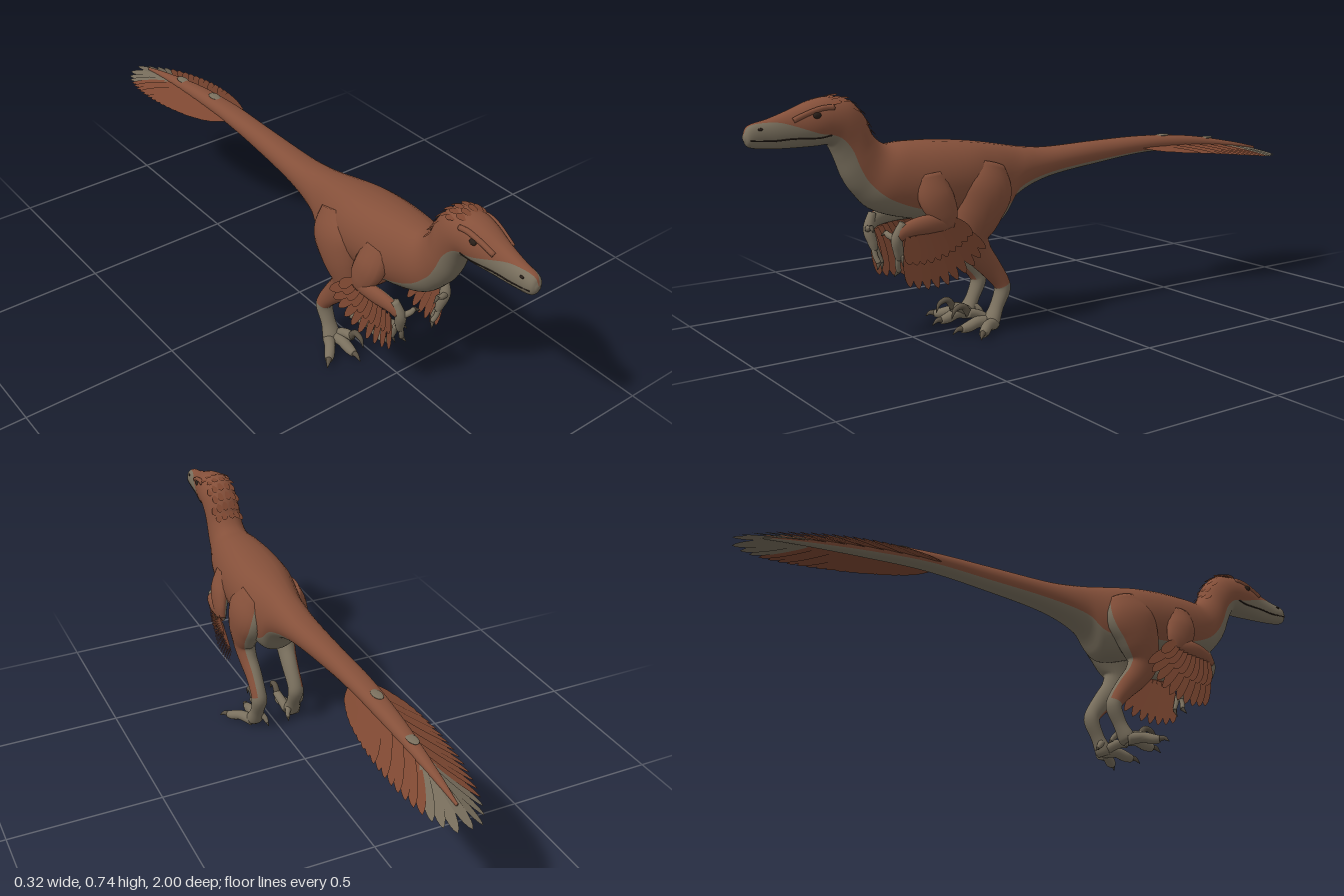
import * as THREE from 'three';

const V = (x, y, z) => new THREE.Vector3(x, y, z);
const mat = (name, color, side = THREE.FrontSide) => {
  const m = new THREE.MeshStandardMaterial({ color, side });
  m.name = name;
  return m;
};
const plain = () => 0;

// Smooth closed skin: point(u, v) gives rings along u; pick(u, v) chooses the material index
function skin(name, nu, nv, point, mats, pick) {
  const pos = [], faces = mats.map(() => []);
  for (let i = -1; i <= nu + 1; i++) {
    const u = Math.min(Math.max(i / nu, 0), 1);
    const ring = [];
    for (let j = 0; j < nv; j++) ring.push(point(u, j / nv));
    if (i < 0 || i > nu) { // collapsed ring closes the end
      const c = ring.reduce((a, p) => a.add(p), V(0, 0, 0)).divideScalar(nv);
      ring.forEach((p, j) => { ring[j] = c; });
    }
    ring.forEach(p => pos.push(p.x, p.y, p.z));
  }
  for (let i = 0; i < nu + 2; i++) for (let j = 0; j < nv; j++) {
    const k = (j + 1) % nv, a = i * nv + j, b = i * nv + k, c = a + nv, d = b + nv;
    faces[pick((i - 0.5) / nu, (j + 0.5) / nv)].push(a, b, c, b, d, c);
  }
  const g = new THREE.BufferGeometry();
  g.setAttribute('position', new THREE.Float32BufferAttribute(pos, 3));
  g.setIndex(faces.flat());
  let start = 0;
  faces.forEach((f, m) => { g.addGroup(start, f.length, m); start += f.length; });
  g.computeVertexNormals();
  const mesh = new THREE.Mesh(g, mats);
  mesh.name = name;
  return mesh;
}

// Tapered limb through points [x, y, z, sideRadius, depthRadius]; s mirrors it in x
function limb(name, pts, s, mats, pick = plain, nu = pts.length * 4, nv = 14) {
  const path = new THREE.CatmullRomCurve3(pts.map(p => V(p[0] * s, p[1], p[2])), false, 'catmullrom');
  const rad = new THREE.CatmullRomCurve3(pts.map(p => V(p[3], p[4] ?? p[3], 0)), false, 'catmullrom');
  const point = (u, v) => {
    const t = path.getTangent(u), r = rad.getPoint(u), a = v * Math.PI * 2;
    const A = V(1, 0, 0).addScaledVector(t, -t.x).normalize(), B = t.clone().cross(A);
    return path.getPoint(u).addScaledVector(A, Math.cos(a) * r.x).addScaledVector(B, Math.sin(a) * r.y);
  };
  return skin(name, nu, nv, point, mats,
    (u, v) => pick(u, s * Math.cos(v * Math.PI * 2), Math.sin(v * Math.PI * 2)));
}

// Leaf-shaped feather one unit long and one unit wide
const leaf = new THREE.Shape();
leaf.moveTo(-0.15, 0);
leaf.bezierCurveTo(-0.55, 0.35, -0.6, 0.9, 0, 1);
leaf.bezierCurveTo(0.6, 0.9, 0.55, 0.35, 0.15, 0);
const leafGeo = new THREE.ShapeGeometry(leaf, 8);

function feather(name, base, tip, width, facing, material) {
  const d = tip.clone().sub(base), len = d.length();
  d.normalize();
  const side = d.clone().cross(facing).normalize(), n = side.clone().cross(d);
  const m = new THREE.Mesh(leafGeo, material);
  m.name = name;
  m.quaternion.setFromRotationMatrix(new THREE.Matrix4().makeBasis(side, d, n));
  m.position.copy(base);
  m.scale.set(width, len, 1);
  return m;
}

// Body sections: top z, top y, bottom z, bottom y, half width, half angle of the pale underside
const SECTIONS = [
  [1.0, .648, 1.0, .632, .008, 3.0], [.985, .672, .985, .612, .022, 2.9], [.93, .686, .93, .604, .028, 2.5],
  [.87, .706, .87, .602, .037, 1.8], [.81, .728, .80, .602, .052, 1.2], [.755, .737, .76, .603, .058, 1.0],
  [.695, .726, .745, .585, .06, 1.05], [.65, .68, .73, .55, .06, 1.15], [.625, .625, .71, .50, .062, 1.15],
  [.585, .594, .68, .455, .068, 1.05], [.52, .595, .62, .40, .088, .95], [.42, .592, .5, .365, .105, .8],
  [.32, .582, .37, .35, .108, .8], [.24, .57, .26, .315, .095, .95], [.16, .555, .205, .32, .078, 1.1],
  [.10, .545, .15, .39, .065, 1.1], [0, .536, .02, .44, .052, 1.0], [-.2, .54, -.2, .468, .04, .95],
  [-.4, .54, -.4, .485, .036, .9], [-.6, .525, -.6, .478, .027, .9], [-.8, .49, -.8, .465, .014, .9],
  [-.92, .463, -.92, .453, .004, .9]];
const LAST = SECTIONS.length - 1;
const curveOf = f => new THREE.CatmullRomCurve3(SECTIONS.map(f), false, 'catmullrom');
const topLine = curveOf(r => V(0, r[1], r[0]));
const bottomLine = curveOf(r => V(0, r[3], r[2]));
const girth = curveOf(r => V(r[4], r[5], 0));

// Point on the body at section index k, angle a measured from the underside (positive = left)
function bodyPoint(k, a) {
  const u = k / LAST, t = topLine.getPoint(u), b = bottomLine.getPoint(u), sn = Math.sin(a);
  const p = t.clone().add(b).multiplyScalar(0.5).addScaledVector(t.sub(b), -0.5 * Math.cos(a));
  p.x = girth.getPoint(u).x * Math.sign(sn) * Math.abs(sn) ** 0.85;
  return p;
}

export function createModel() {
  const root = new THREE.Group();
  root.name = 'featheredDinosaur';
  const brown = mat('russet', 0x85503a), pale = mat('stoneGrey', 0x7a705e);
  const plume = mat('featherRusset', 0x7d4731, THREE.DoubleSide);
  const palePlume = mat('featherGrey', 0x756b5a, THREE.DoubleSide);
  const horn = mat('claw', 0x5a5143), dark = mat('dark', 0x2a201a);

  // Head, neck, trunk and tail in one skin, pale below and russet above
  root.add(skin('body', 126, 40, (u, v) => {
    const g = girth.getPoint(u).y;
    const a = v < 0.5 ? -g + 4 * g * v : g + (2 * Math.PI - 2 * g) * (v - 0.5) * 2;
    return bodyPoint(u * LAST, -a);
  }, [pale, brown], (u, v) => (v < 0.5 ? 0 : 1)));

  const blob = (name, p, sx, sy, sz, m) => {
    const b = new THREE.Mesh(new THREE.SphereGeometry(1, 16, 10), m);
    b.name = name;
    b.position.copy(p);
    b.scale.set(sx, sy, sz);
    root.add(b);
  };

  // Pale marks on top of the tail
  for (const k of [18.4, 19.4]) blob('tailMark', bodyPoint(k, Math.PI), .016, .004, .028, pale);

  for (const s of [1, -1]) {
    // Face
    blob('eye', bodyPoint(4, s * 2.0), .006, .009, .012, dark);
    blob('nostril', bodyPoint(1.5, s * 2.1), .003, .004, .007, dark);
    const trace = (ks, as, r) => ks.map((k, i) => {
      const p = bodyPoint(k, s * as[i]);
      return [p.x * s, p.y, p.z, r];
    });
    root.add(limb('mouthLine', trace([.9, 2, 3, 4, 4.8], [1.25, 1.15, 1.1, .95, 1.0], .0022), s, [dark], plain, 20, 6));
    root.add(limb('browRidge', trace([3, 3.5, 4, 4.5, 5], [2.1, 2.2, 2.25, 2.25, 2.2], .008), s, [brown], plain, 16, 8));

    // Leg: russet on the outside and front, pale inside, behind and below the ankle
    root.add(limb('leg', [
      [.055, .51, .265, .04, .06], [.075, .44, .285, .053, .092], [.08, .37, .312, .048, .078],
      [.075, .30, .33, .036, .056], [.072, .25, .31, .03, .044], [.068, .2, .268, .027, .035],
      [.068, .15, .23, .026, .027], [.068, .12, .222, .027, .024], [.068, .07, .243, .024, .02],
      [.07, .03, .263, .03, .024], [.072, .014, .27, .024, .018]], s, [pale, brown],
      (u, out, front) => (u < .64 && out * .8 + front * .7 > -.1 ? 1 : 0), 50, 24));

    // Toes and claws
    const toes = [
      ['middleToe', [[.064, .024, .262, .02], [.062, .03, .305, .018], [.06, .02, .34, .017], [.06, .016, .365, .012]],
        [[.06, .018, .358, .01], [.06, .018, .378, .007], [.06, .005, .396, .001]]],
      ['outerToe', [[.08, .022, .262, .02], [.105, .026, .3, .017], [.126, .018, .325, .016], [.14, .016, .34, .012]],
        [[.136, .018, .336, .01], [.15, .018, .35, .007], [.161, .006, .36, .001]]],
      ['raisedToe', [[.054, .028, .265, .017], [.046, .05, .3, .015], [.045, .058, .335, .014]],
        [[.045, .055, .328, .012], [.045, .082, .35, .01], [.045, .075, .378, .007], [.045, .048, .39, .001]]],
      ['backToe', [[.055, .05, .25, .012], [.043, .035, .235, .009], [.04, .022, .225, .006]],
        [[.04, .025, .227, .006], [.038, .012, .216, .001]]]];
    for (const [name, toe, claw] of toes) {
      root.add(limb(name, toe, s, [pale]));
      root.add(limb(name + 'Claw', claw, s, [horn]));
    }

    // Arm: folded, russet outside and pale inside
    const inner = (u, out) => (out > -.2 ? 1 : 0);
    root.add(limb('upperArm', [[.075, .50, .475, .03, .05], [.098, .44, .47, .032, .055],
      [.112, .39, .45, .022, .045], [.114, .35, .435, .014, .026]], s, [pale, brown], inner));
    root.add(limb('forearm', [[.114, .36, .425, .014, .022], [.112, .365, .5, .018, .028],
      [.1, .355, .56, .017, .024], [.09, .335, .59, .014, .018]], s, [pale, brown], inner));
    root.add(limb('hand', [[.094, .375, .575, .012], [.086, .33, .592, .017], [.078, .29, .585, .015],
      [.073, .265, .58, .01]], s, [pale]));
    const fingers = [
      [[.076, .28, .583, .009], [.068, .25, .582, .008], [.06, .228, .575, .008]],
      [[.084, .28, .575, .009], [.08, .25, .565, .008], [.077, .225, .555, .006]],
      [[.08, .33, .598, .01], [.06, .337, .606, .009], [.045, .342, .605, .007]]];
    const clawTips = [[.05, .21, .585], [.07, .2, .56], [.025, .33, .61]];
    fingers.forEach((f, i) => {
      root.add(limb('finger', f, s, [pale]));
      root.add(limb('fingerClaw', [f[2], [...clawTips[i], .001]], s, [horn]));
    });

    // Wing feathers fanning from the forearm, with shorter coverts over them
    for (let i = 0; i < 10; i++) {
      const t = i / 9, a = -0.25 + 1.15 * (1 - t), len = .12 + .05 * Math.sin(Math.PI * (.15 + .7 * t));
      const base = V(s * (.122 - .02 * t), .36 - .04 * t, .43 + .14 * t);
      const tip = base.clone().add(V(s * (.004 - .014 * t), -len * Math.cos(a), -len * Math.sin(a) - .05 * t));
      root.add(feather('wingFeather', base, tip, .036, V(1, 0, .25), plume));
      const up = base.clone().add(V(s * .006, .015, 0));
      root.add(feather('wingCovert', up, up.clone().lerp(tip, .55).add(V(s * .004, 0, 0)), .036, V(1, 0, .25), plume));
    }

    // Tail fan: feathers sweep back and droop outwards
    const tailY = (x, z) => .512 - .21 * (z + .4) ** 2 - .25 * x;
    for (let i = 0; i < 19; i++) {
      const t = i / 18, tz = -.44 - .55 * t, bz = Math.min(tz + .18, -.35);
      const tx = .116 * Math.sqrt(1 - ((t - .45) / .58) ** 2);
      const base = V(s * .008, tailY(0, bz) - .002 * (i % 2), bz);
      root.add(feather('tailFeather', base, V(s * tx, tailY(tx, tz), tz), .034, V(s * .35, 1, 0), t > .87 ? palePlume : plume));
    }
  }
  root.add(feather('tailFeather', V(0, .476, -.82), V(0, .436, -1), .034, V(0, 1, 0), palePlume));

  // Short ruffled feathers over the crown and nape
  for (let r = 0; r < 6; r++) for (let c = -2; c <= 2; c++) {
    const k = 4.9 + r * .55, a = Math.PI + (c + (r % 2 ? .3 : -.3)) * .32;
    const base = bodyPoint(k, a), out = base.clone().sub(bodyPoint(k, 0)).normalize();
    const tip = bodyPoint(k + .55, a).addScaledVector(out, .008);
    root.add(feather('crownFeather', base, tip, .022, out, plume));
  }
  return root;
}
